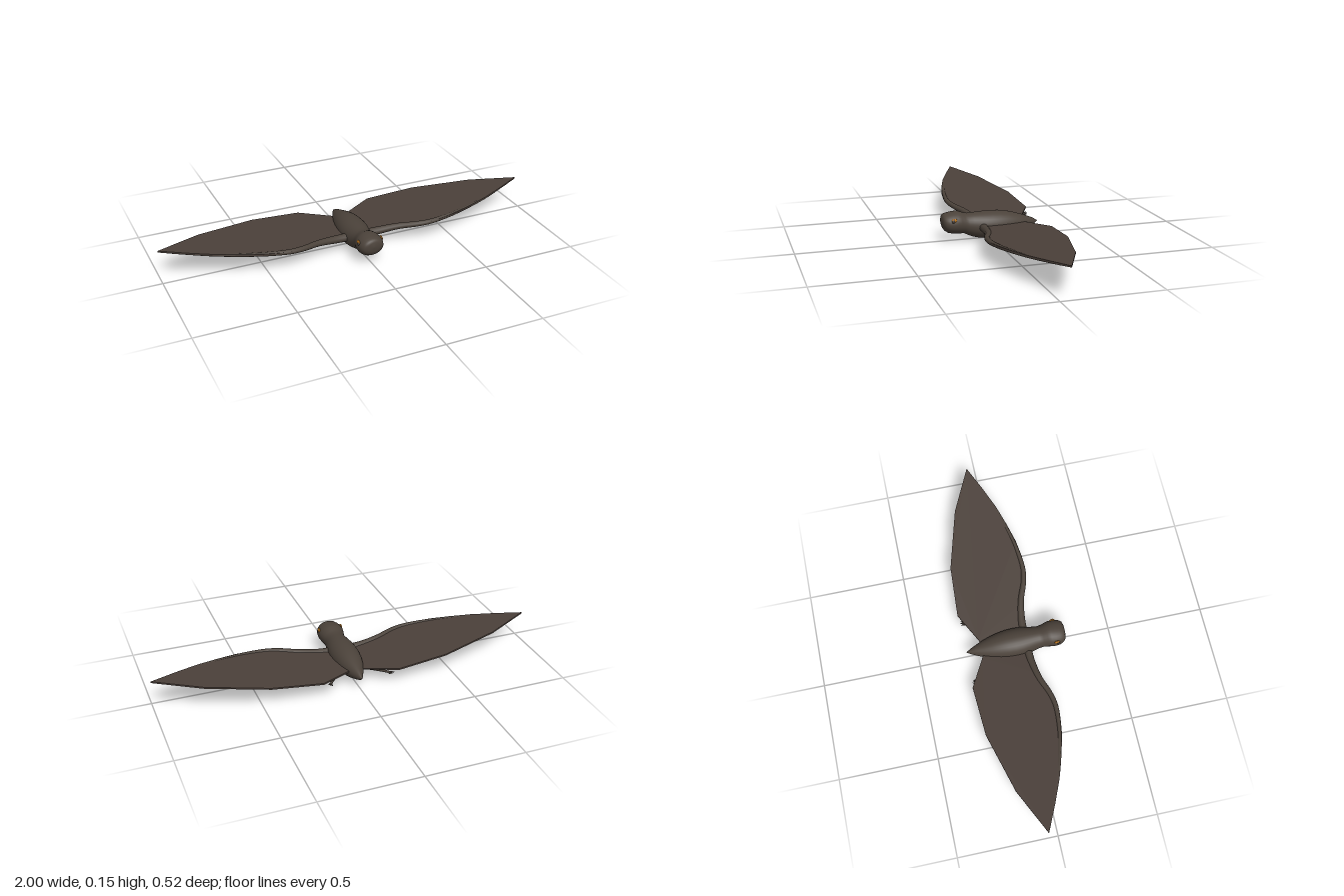
import * as THREE from 'three';

const brown = (name, color) => Object.assign(new THREE.MeshStandardMaterial({ color }), { name });
const bodyMat = brown('bodyBrown', 0x4b423a);
const wingMat = brown('wingBrown', 0x4b403a);
const eyeMat = brown('eyeOrange', 0xb8741c);
const pupilMat = brown('pupilDark', 0x453d39);

function part(parent, name, geometry, material) {
  const mesh = new THREE.Mesh(geometry, material);
  mesh.name = name;
  parent.add(mesh);
  return mesh;
}

// Smooth skin over elliptical sections [z, centreY, halfWidth, halfHeight], front to back
function loft(sections, sides = 32) {
  const pos = [], index = [];
  sections.forEach(([z, cy, rx, ry], i) => {
    for (let j = 0; j < sides; j++) {
      const a = (j / sides) * Math.PI * 2;
      pos.push(rx * Math.cos(a), cy + ry * Math.sin(a), z);
      if (i === 0) continue;
      const k = (j + 1) % sides, p = (i - 1) * sides, q = i * sides;
      index.push(p + j, q + j, p + k, p + k, q + j, q + k);
    }
  });
  const g = new THREE.BufferGeometry();
  g.setAttribute('position', new THREE.Float32BufferAttribute(pos, 3));
  g.setIndex(index);
  g.computeVertexNormals();
  return g;
}

// Tube along points [x, y, z, radius]; side mirrors it in x
function taperedTube(points, side, steps = 40, sides = 12) {
  const curve = new THREE.CatmullRomCurve3(points.map(([x, y, z]) => new THREE.Vector3(x * side, y, z)));
  const g = new THREE.TubeGeometry(curve, steps, 1, sides, false);
  const p = g.attributes.position, v = new THREE.Vector3();
  for (let i = 0; i <= steps; i++) {
    const c = curve.getPointAt(i / steps);
    const t = curve.getUtoTmapping(i / steps) * (points.length - 1);
    const k = Math.min(Math.floor(t), points.length - 2);
    const r = THREE.MathUtils.lerp(points[k][3], points[k + 1][3], t - k);
    for (let j = 0; j <= sides; j++) {
      const n = i * (sides + 1) + j;
      v.fromBufferAttribute(p, n).sub(c).multiplyScalar(r).add(c);
      p.setXYZ(n, v.x, v.y, v.z);
    }
  }
  return g;
}

// Thin plate wing, sloping up toward the tip
function membrane(side) {
  const outline = [
    [0.03, -0.17], [0.05, -0.18], [0.2, -0.26], [0.46, -0.245], [0.77, -0.16], [1, -0.05],
    [0.87, 0.01], [0.75, 0.06], [0.64, 0.095], [0.54, 0.122], [0.45, 0.135], [0.38, 0.138],
    [0.32, 0.125], [0.2, 0.085], [0.03, 0.06],
  ];
  const shape = new THREE.Shape(outline.map(([x, z]) => new THREE.Vector2(x * side, -z)));
  const g = new THREE.ExtrudeGeometry(shape, { depth: 0.008, bevelEnabled: false });
  g.rotateX(-Math.PI / 2);
  const p = g.attributes.position;
  for (let i = 0; i < p.count; i++) p.setY(i, p.getY(i) + 0.067 + 0.08 * Math.abs(p.getX(i)));
  g.computeVertexNormals();
  return g;
}

export function createModel() {
  const model = new THREE.Group();
  model.name = 'flyingAnimal';

  // Head, neck, torso and pointed tail in one skin
  part(model, 'body', loft([
    [0.261, 0.104, 0.001, 0.001], [0.259, 0.104, 0.03, 0.024], [0.254, 0.102, 0.048, 0.036],
    [0.244, 0.099, 0.058, 0.045], [0.228, 0.096, 0.065, 0.052], [0.208, 0.095, 0.068, 0.056],
    [0.185, 0.095, 0.067, 0.058], [0.165, 0.093, 0.062, 0.057], [0.145, 0.088, 0.057, 0.053],
    [0.125, 0.081, 0.056, 0.056], [0.1, 0.076, 0.06, 0.062], [0.07, 0.073, 0.067, 0.067],
    [0.035, 0.0715, 0.073, 0.0695], [0, 0.071, 0.075, 0.0705], [-0.04, 0.07, 0.073, 0.0695],
    [-0.08, 0.069, 0.067, 0.065], [-0.12, 0.068, 0.058, 0.056], [-0.16, 0.067, 0.045, 0.044],
    [-0.2, 0.067, 0.028, 0.03], [-0.23, 0.067, 0.014, 0.017], [-0.253, 0.068, 0.001, 0.001],
  ]), bodyMat);

  for (const side of [1, -1]) {
    const label = side > 0 ? 'left' : 'right';

    // Wing plate with a tapering arm along its leading edge
    const wing = new THREE.Group();
    wing.name = label + 'Wing';
    model.add(wing);
    part(wing, 'membrane', membrane(side), wingMat);
    part(wing, 'arm', taperedTube([
      [0.03, 0.07, 0.055, 0.022], [0.12, 0.074, 0.06, 0.02], [0.22, 0.086, 0.08, 0.016],
      [0.31, 0.095, 0.113, 0.014], [0.38, 0.1, 0.126, 0.013], [0.5, 0.109, 0.117, 0.011],
      [0.62, 0.118, 0.091, 0.009], [0.75, 0.128, 0.052, 0.007], [0.9, 0.14, -0.01, 0.005],
      [0.985, 0.147, -0.045, 0.002],
    ], side, 60), bodyMat);

    // Leg trailing backward and outward, ending in three toes
    const leg = new THREE.Group();
    leg.name = label + 'Leg';
    model.add(leg);
    part(leg, 'shank', taperedTube([
      [0.035, 0.048, -0.06, 0.016], [0.075, 0.052, -0.12, 0.014],
      [0.12, 0.058, -0.18, 0.009], [0.155, 0.063, -0.23, 0.005],
    ], side, 20), bodyMat);
    for (const spread of [-1, 0, 1]) {
      part(leg, 'toe', taperedTube([
        [0.152, 0.063, -0.225, 0.005],
        [0.16 + spread * 0.006, 0.064 + spread * 0.003, -0.24, 0.004],
        [0.163 + spread * 0.011, 0.067 + spread * 0.004, -0.255 + Math.abs(spread) * 0.004, 0.001],
      ], side, 8, 8), bodyMat);
    }

    // Eye set into the side of the head
    const eye = part(model, label + 'Eye', new THREE.SphereGeometry(1, 20, 14), eyeMat);
    eye.scale.set(0.006, 0.011, 0.014);
    eye.position.set(side * 0.0605, 0.119, 0.208);
    const pupil = part(model, label + 'Pupil', new THREE.SphereGeometry(1, 16, 12), pupilMat);
    pupil.scale.set(0.006, 0.009, 0.008);
    pupil.position.set(side * 0.063, 0.115, 0.213);
  }
  return model;
}
